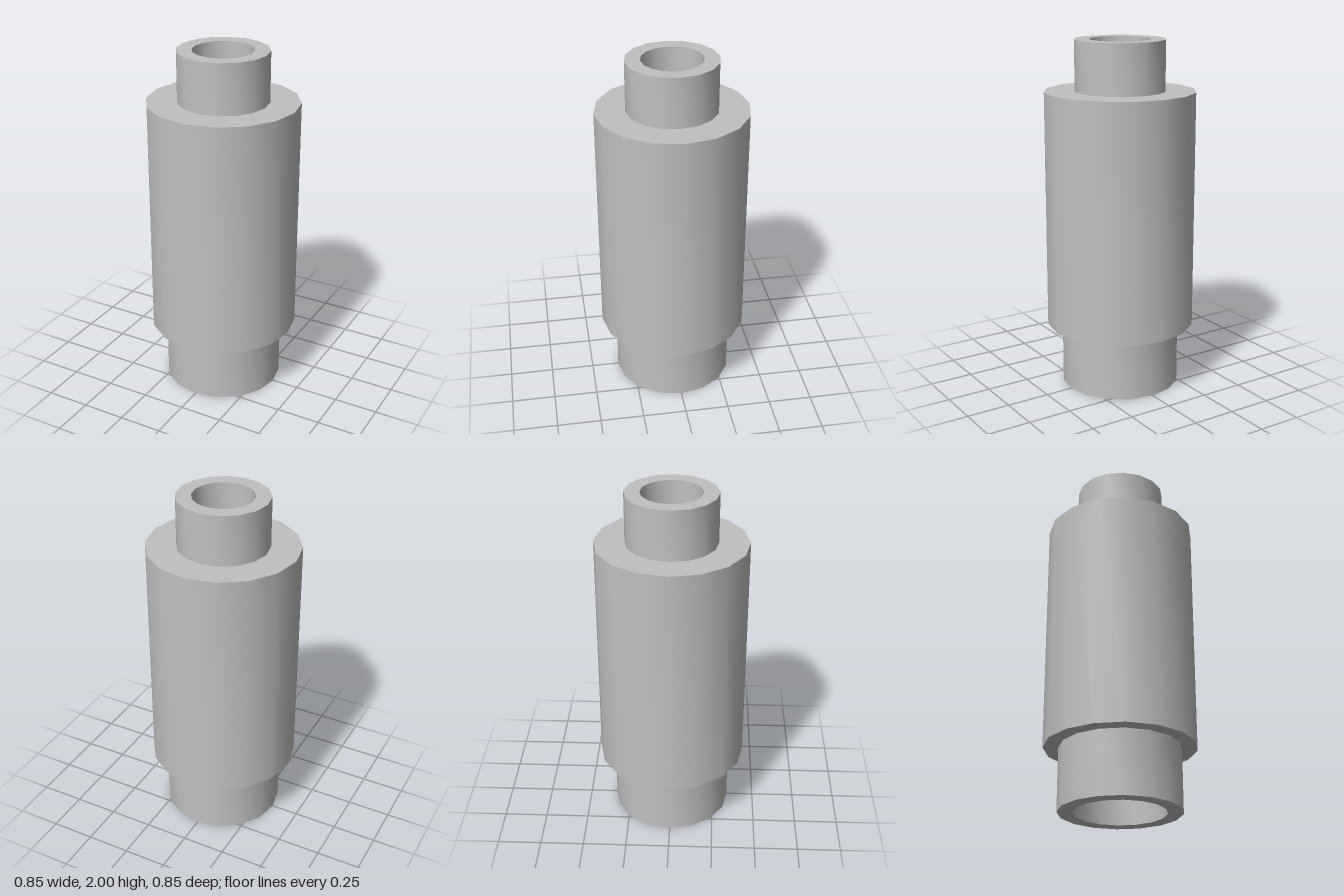
import * as THREE from 'three';
import { toCreasedNormals } from 'three/addons/utils/BufferGeometryUtils.js';

const SIDES = 16;

export function createModel() {
  const group = new THREE.Group();
  group.name = 'steppedSleeve';

  const grey = new THREE.MeshStandardMaterial({ color: 0xc0c0c0 });
  grey.name = 'plain grey';

  // Radii and heights of the steps
  const bore = 0.171, neckR = 0.256, baseR = 0.341, bodyR = 0.427;
  const bodyBottom = 0.36, bodyTop = 1.715, top = 2;

  // Turned part: smooth around, sharp at each step
  const turned = (name, profile) => {
    const points = profile.map(([r, y]) => new THREE.Vector2(r, y));
    const geometry = toCreasedNormals(new THREE.LatheGeometry(points, SIDES), Math.PI / 4);
    const mesh = new THREE.Mesh(geometry, grey);
    mesh.name = name;
    group.add(mesh);
  };

  // Lower collar with its wide opening
  turned('baseCollar', [[neckR, bodyBottom], [neckR, 0], [baseR, 0], [baseR, bodyBottom]]);

  // Main barrel with the shoulders above and below
  turned('body', [[baseR, bodyBottom], [bodyR, bodyBottom], [bodyR, bodyTop], [neckR, bodyTop]]);

  // Wall of the hollow inside the barrel
  turned('bodyBore', [[neckR, bodyTop], [neckR, bodyBottom]]);

  // Narrow upper neck, including the ledge beneath it
  turned('neck', [[neckR, bodyTop], [neckR, top], [bore, top], [bore, bodyTop], [neckR, bodyTop]]);

  return group;
}
